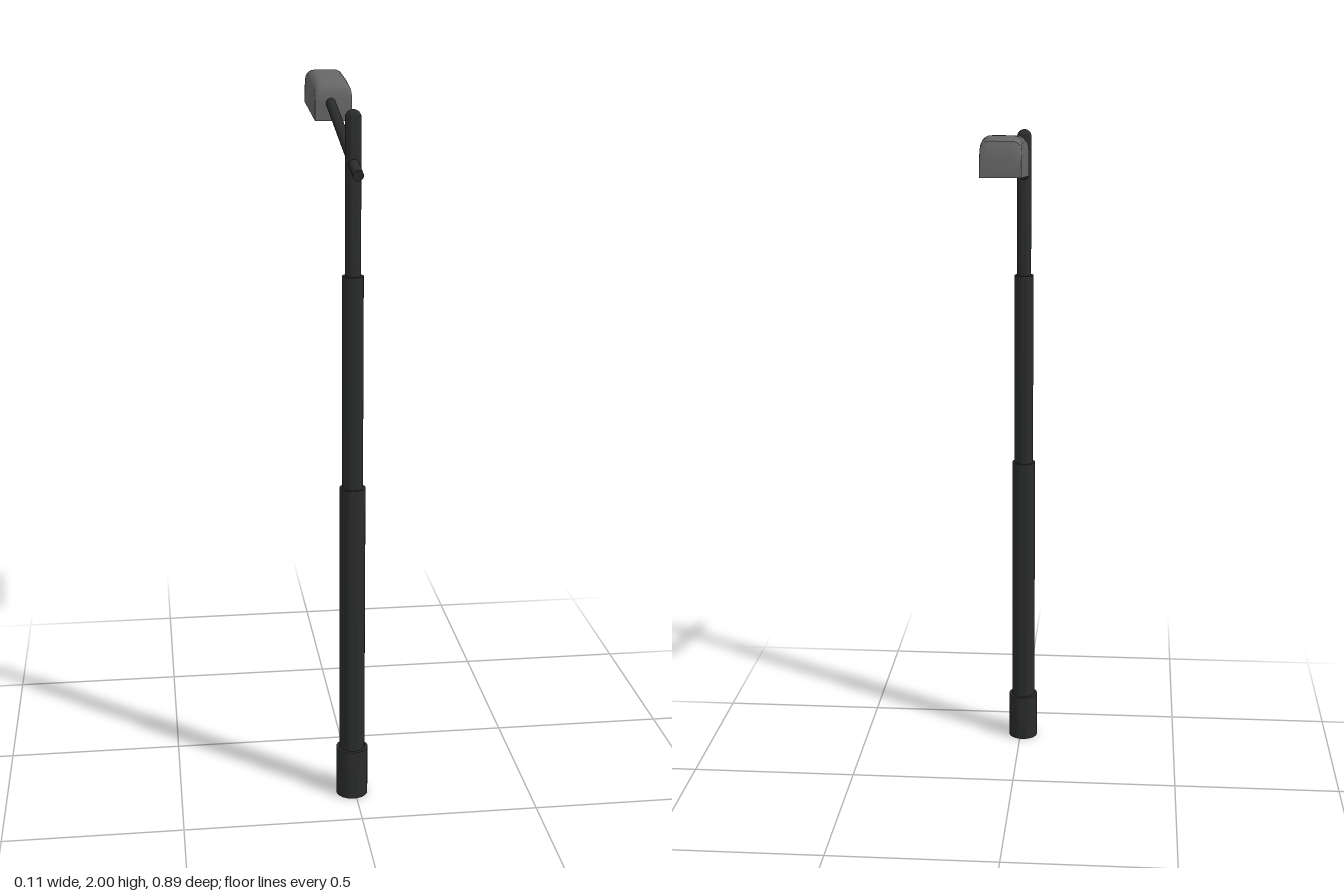
import * as THREE from 'three';
import { toCreasedNormals } from 'three/addons/utils/BufferGeometryUtils.js';

const POLE_X = -0.009, POLE_Z = 0.339;
const dark = new THREE.MeshStandardMaterial({ color: 0x2a2c2b });
const grey = new THREE.MeshStandardMaterial({ color: 0x666666 });

function add(parent, name, geometry, material) {
  const mesh = new THREE.Mesh(geometry, material);
  mesh.name = name;
  parent.add(mesh);
  return mesh;
}

// Stepped tube: each stage is narrower than the one below, with a domed tip
function poleGeometry() {
  const stages = [[0.045, 0, 0.145], [0.036, 0.145, 0.93], [0.029, 0.93, 1.52], [0.0215, 1.52, 1.934]];
  const pts = [new THREE.Vector2(0, 0)];
  for (const [r, y0, y1] of stages) pts.push(new THREE.Vector2(r, y0), new THREE.Vector2(r, y1));
  for (let i = 1; i <= 6; i++) {
    const a = (i / 6) * Math.PI / 2;
    pts.push(new THREE.Vector2(i === 6 ? 0 : 0.0215 * Math.cos(a), 1.934 + 0.0215 * Math.sin(a)));
  }
  return toCreasedNormals(new THREE.LatheGeometry(pts, 32), 0.7);
}

// Lamp shell lofted along z from round-shouldered sections, open underneath
const HALF = 0.0535, Z0 = -0.152, Z1 = -0.444, Y0 = 1.873, Y1 = 1.9;
function shellGeometry() {
  const tops = [[-0.152, 1.948], [-0.158, 1.966], [-0.172, 1.977], [-0.26, 1.99], [-0.33, 1.996],
    [-0.38, 2], [-0.415, 1.997], [-0.43, 1.99], [-0.438, 1.972], [-0.444, 1.9455]];
  const pos = [], index = [], arc = 5, n = 2 * arc + 4, r = 0.024;
  for (const [z, top] of tops) {
    const bottom = Y0 + (Y1 - Y0) * (z - Z0) / (Z1 - Z0);
    pos.push(HALF, bottom, z);
    for (let k = 0; k < 2 * (arc + 1); k++) {
      const side = k <= arc ? 1 : -1;
      const a = (k <= arc ? k : k - 1) / (2 * arc) * Math.PI;
      pos.push(side * (HALF - r) + r * Math.cos(a), top - r + r * Math.sin(a), z);
    }
    pos.push(-HALF, bottom, z);
  }
  for (let s = 0; s < tops.length - 1; s++) {
    for (let i = 0; i < n - 1; i++) {
      const a = s * n + i, d = a + n;
      index.push(a, d, a + 1, d, d + 1, a + 1);
    }
  }
  // End caps
  const last = (tops.length - 1) * n;
  for (let i = 1; i < n - 1; i++) index.push(0, i, i + 1, last, last + i + 1, last + i);
  const g = new THREE.BufferGeometry();
  g.setAttribute('position', new THREE.Float32BufferAttribute(pos, 3));
  g.setIndex(index);
  return toCreasedNormals(g, 0.65);
}

function rectangle(target, w, h) {
  target.moveTo(-w, -h).lineTo(w, -h).lineTo(w, h).lineTo(-w, h).closePath();
  return target;
}

export function createModel() {
  const model = new THREE.Group();
  model.name = 'streetLight';

  add(model, 'pole', poleGeometry(), dark).position.set(POLE_X, 0, POLE_Z);

  // Sloping arm running through the pole into the lamp
  const from = new THREE.Vector3(POLE_X, 1.798, 0.441), to = new THREE.Vector3(POLE_X, 1.931, -0.19);
  const dir = to.clone().sub(from);
  const arm = add(model, 'arm', new THREE.CylinderGeometry(0.0145, 0.0145, dir.length(), 20), dark);
  arm.position.copy(from).add(to).multiplyScalar(0.5);
  arm.quaternion.setFromUnitVectors(new THREE.Vector3(0, 1, 0), dir.normalize());

  const lamp = new THREE.Group();
  lamp.name = 'lampHead';
  add(lamp, 'lampShell', shellGeometry(), grey);

  // Underside rim around a recessed light panel, following the tilted lower edge
  const under = new THREE.Group();
  under.name = 'lampUnderside';
  under.position.set(0, (Y0 + Y1) / 2, (Z0 + Z1) / 2);
  under.rotation.x = Math.atan2(Y1 - Y0, Z0 - Z1);
  const halfLength = Math.hypot(Z0 - Z1, Y1 - Y0) / 2 - 0.002;
  const rim = rectangle(new THREE.Shape(), HALF - 0.001, halfLength);
  rim.holes.push(rectangle(new THREE.Path(), HALF - 0.02, halfLength - 0.025));
  const rimGeometry = new THREE.ExtrudeGeometry(rim, { depth: 0.018, bevelEnabled: false });
  rimGeometry.rotateX(-Math.PI / 2);
  add(under, 'lampRim', rimGeometry, grey);
  const panel = new THREE.BoxGeometry(2 * HALF - 0.03, 0.006, 2 * halfLength - 0.04);
  add(under, 'lightPanel', panel, grey).position.y = 0.018;
  lamp.add(under);
  lamp.position.x = -0.001;
  model.add(lamp);
  return model;
}
